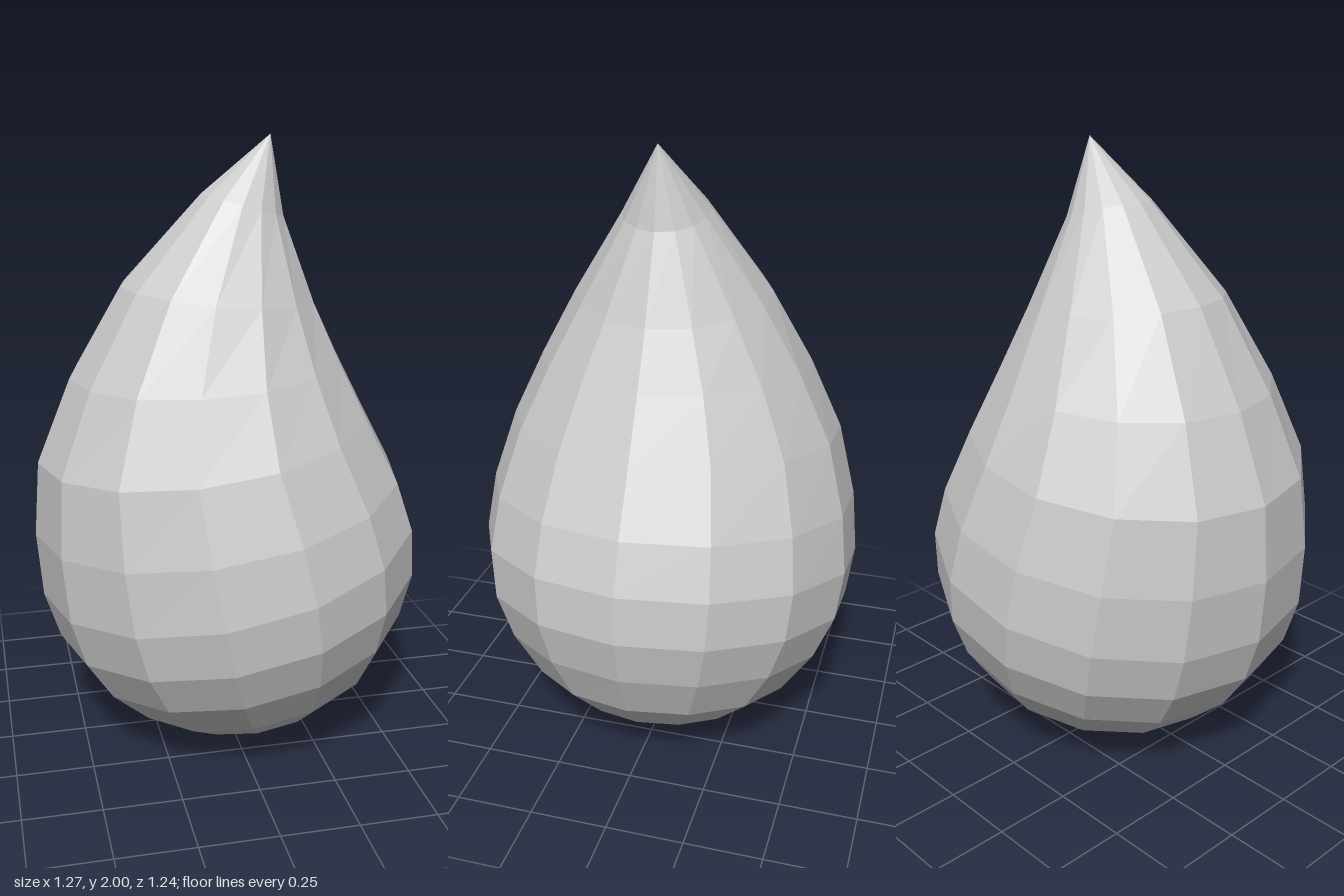
import * as THREE from 'three';

// Each ring is given by its two ends in the z = 0 plane: [leftX, leftY, rightX, rightY].
// The rings tilt one way near the base and the other way near the bent tip.
const RINGS = [
  [-0.04, 0.00, 0.28, 0.065],
  [-0.20, 0.04, 0.415, 0.155],
  [-0.35, 0.115, 0.53, 0.285],
  [-0.48, 0.23, 0.60, 0.445],
  [-0.57, 0.365, 0.635, 0.60],
  [-0.62, 0.52, 0.625, 0.76],
  [-0.638, 0.735, 0.57, 0.92],
  [-0.62, 0.98, 0.465, 1.12],
  [-0.51, 1.25, 0.37, 1.305],
  [-0.34, 1.54, 0.285, 1.485],
  [-0.08, 1.82, 0.185, 1.75],
];
const SIDES = 14;
const BASE = [0.12, 0.015, 0];
const TIP = [0.143, 2, 0];

function dropGeometry() {
  const points = [];
  const index = [];

  // Circular cross-sections, each lying in its own tilted plane
  for (const [lx, ly, rx, ry] of RINGS) {
    const radius = Math.hypot(rx - lx, ry - ly) / 2;
    for (let i = 0; i < SIDES; i++) {
      const a = (i / SIDES) * Math.PI * 2;
      const t = (1 + Math.cos(a)) / 2;
      points.push(lx + (rx - lx) * t, ly + (ry - ly) * t, radius * Math.sin(a));
    }
  }
  const base = RINGS.length * SIDES;
  const tip = base + 1;
  points.push(...BASE, ...TIP);

  // Quads between rings, fans at the base and the tip
  const last = (RINGS.length - 1) * SIDES;
  for (let i = 0; i < SIDES; i++) {
    const j = (i + 1) % SIDES;
    index.push(base, i, j);
    for (let r = 0; r < last; r += SIDES) {
      const a = r + i, b = r + j, c = a + SIDES, d = b + SIDES;
      index.push(a, c, b, b, c, d);
    }
    index.push(last + i, tip, last + j);
  }

  const geometry = new THREE.BufferGeometry();
  geometry.setAttribute('position', new THREE.Float32BufferAttribute(points, 3));
  geometry.setIndex(index);
  const faceted = geometry.toNonIndexed();
  faceted.computeVertexNormals();
  return faceted;
}

export function createModel() {
  const group = new THREE.Group();
  group.name = 'drop';
  const material = new THREE.MeshStandardMaterial({ color: 0xcccccc, flatShading: true });
  const drop = new THREE.Mesh(dropGeometry(), material);
  drop.name = 'dropBody';
  group.add(drop);
  return group;
}
